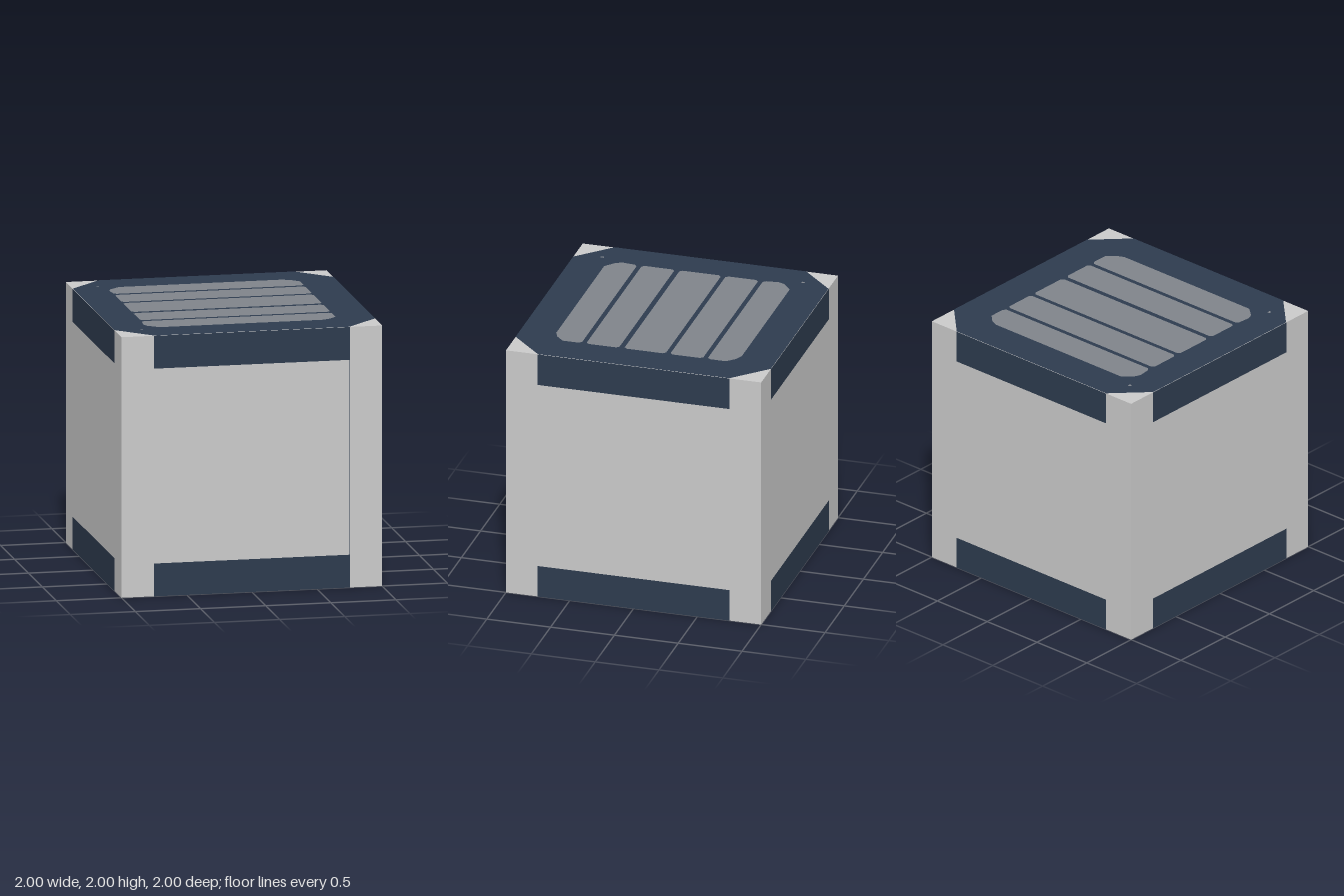
import * as THREE from 'three';

export function createModel() {
  const mat = (name, color) => new THREE.MeshStandardMaterial({ name, color });
  const casing = mat('light grey casing', 0xcacaca);
  const navy = mat('navy trim', 0x2d3b4e);
  const slatGrey = mat('slat grey', 0x80848a);

  const model = new THREE.Group();
  model.name = 'crate';
  const GAP = 0.002; // lift of one painted layer

  const add = (parent, name, geometry, material, x, y, z) => {
    const mesh = new THREE.Mesh(geometry, material);
    mesh.name = name;
    mesh.position.set(x, y, z);
    parent.add(mesh);
    return mesh;
  };

  // Solid cube
  add(model, 'body', new THREE.BoxGeometry(2, 2, 2), casing, 0, 1, 0);

  // Upper and lower bands on all four sides
  for (let i = 0; i < 4; i++) {
    const side = new THREE.Group();
    side.name = 'sideTrim';
    side.rotation.y = (i * Math.PI) / 2;
    for (const [name, y] of [['lowerBand', 0.126], ['upperBand', 1.874]]) {
      add(side, name, new THREE.PlaneGeometry(1.504, 0.252), navy, 0, y, 1 + GAP);
    }
    model.add(side);
  }

  // Fine vertical seam on the front
  add(model, 'frontSeam', new THREE.PlaneGeometry(0.007, 2), navy, 0.747, 1, 1 + GAP);

  // Flat shape on the top, from [x, z] corners
  const topPlate = (name, corners, material, layer) => {
    const shape = new THREE.Shape(corners.map(([x, z]) => new THREE.Vector2(x, -z)));
    const geometry = new THREE.ShapeGeometry(shape).rotateX(-Math.PI / 2);
    add(model, name, geometry, material, 0, 2 + layer * GAP, 0);
  };

  // Octagonal lid
  const c = 0.75;
  topPlate('lid', [[-1, -c], [-1, c], [-c, 1], [c, 1], [1, c], [1, -c], [c, -1], [-c, -1]], navy, 1);

  // Five slats: a middle one and two mirrored pairs
  const L = -0.74, R = 0.72, b = 0.02;
  const bar = (z0, z1) => [
    [L + b, z0], [L, z0 + b], [L, z1 - b], [L + b, z1],
    [R - b, z1], [R, z1 - b], [R, z0 + b], [R - b, z0],
  ];
  topPlate('middleSlat', bar(-0.165, 0.16), slatGrey, 2);
  const endSlat = [
    [L + 0.02, 0.493], [L, 0.515], [-0.75, 0.61], [-0.73, 0.66], [-0.65, 0.727],
    [0.6, 0.727], [0.66, 0.70], [R, 0.64], [R, 0.515], [R - 0.02, 0.493],
  ];
  for (const s of [1, -1]) {
    const mirror = (points) => points.map(([x, z]) => [x, z * s]);
    topPlate('innerSlat', mirror(bar(0.2, 0.457)), slatGrey, 2);
    topPlate('endSlat', mirror(endSlat), slatGrey, 2);
    topPlate('cornerDot', mirror([[-0.81, 0.775], [-0.81, 0.8], [-0.79, 0.8], [-0.79, 0.775]]), slatGrey, 2);
  }

  return model;
}
